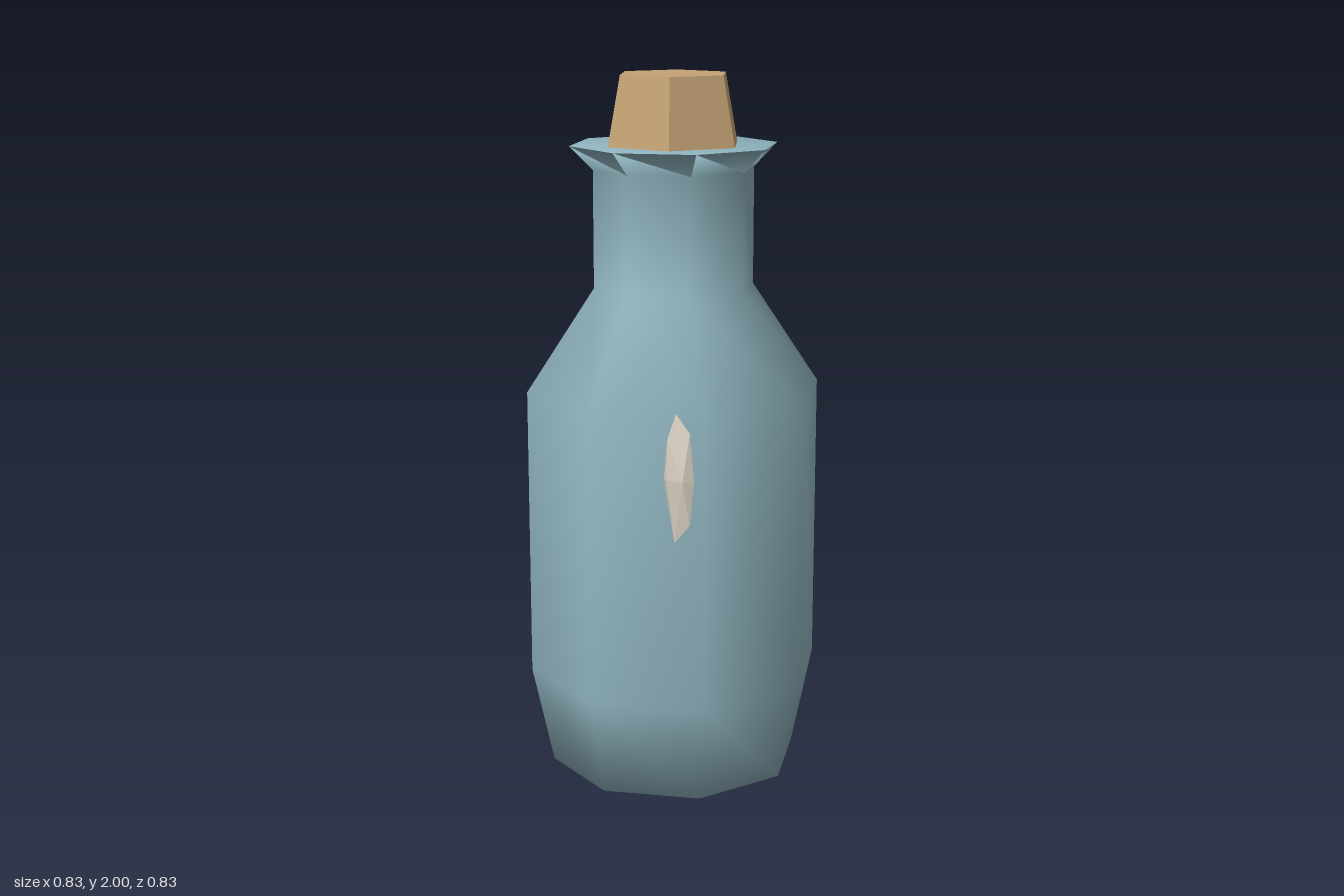
import * as THREE from 'three';
import { ConvexGeometry } from 'three/addons/geometries/ConvexGeometry.js';

const paint = (name, color, flatShading = false) => {
  const m = new THREE.MeshStandardMaterial({ color, flatShading });
  m.name = name;
  return m;
};

export function createModel() {
  const model = new THREE.Group();
  model.name = 'corkedBottle';
  const glass = paint('blueGlass', 0x8fb3be);
  const corkMat = paint('corkTan', 0xc4a274, true);
  const pale = paint('paleBone', 0xd9d1c2, true);

  const add = (name, geometry, material) => {
    const mesh = new THREE.Mesh(geometry, material);
    mesh.name = name;
    model.add(mesh);
    return mesh;
  };

  // Eight-sided smooth bottle: pointed base, shoulder, neck, flared and closed lip
  const profile = [
    [0, 0], [0.355, 0.04], [0.415, 0.32], [0.415, 1.135],
    [0.225, 1.42], [0.225, 1.745], [0.29, 1.81], [0, 1.81],
  ].map(([r, y]) => new THREE.Vector2(r, y));
  add('bottle', new THREE.LatheGeometry(profile, 8), glass);

  // Six-sided tapered stopper
  const cork = add('cork',
    new THREE.CylinderGeometry(0.16, 0.197, 0.19, 6, 1, false, Math.PI / 2), corkMat);
  cork.position.set(-0.002, 1.905, 0);

  // Slim faceted chip set on the front left face
  const chip = [
    [0.225, 1.15, 0.33], [0.265, 1.1, 0.325], [0.275, 0.97, 0.32],
    [0.265, 0.85, 0.325], [0.22, 0.795, 0.33], [0.19, 0.97, 0.335],
    [0.205, 1.08, 0.342], [0.255, 0.97, 0.345], [0.205, 0.97, 0.345],
    [0.24, 0.97, 0.308],
  ].map((p) => new THREE.Vector3(...p));
  add('chip', new ConvexGeometry(chip), pale);

  return model;
}
